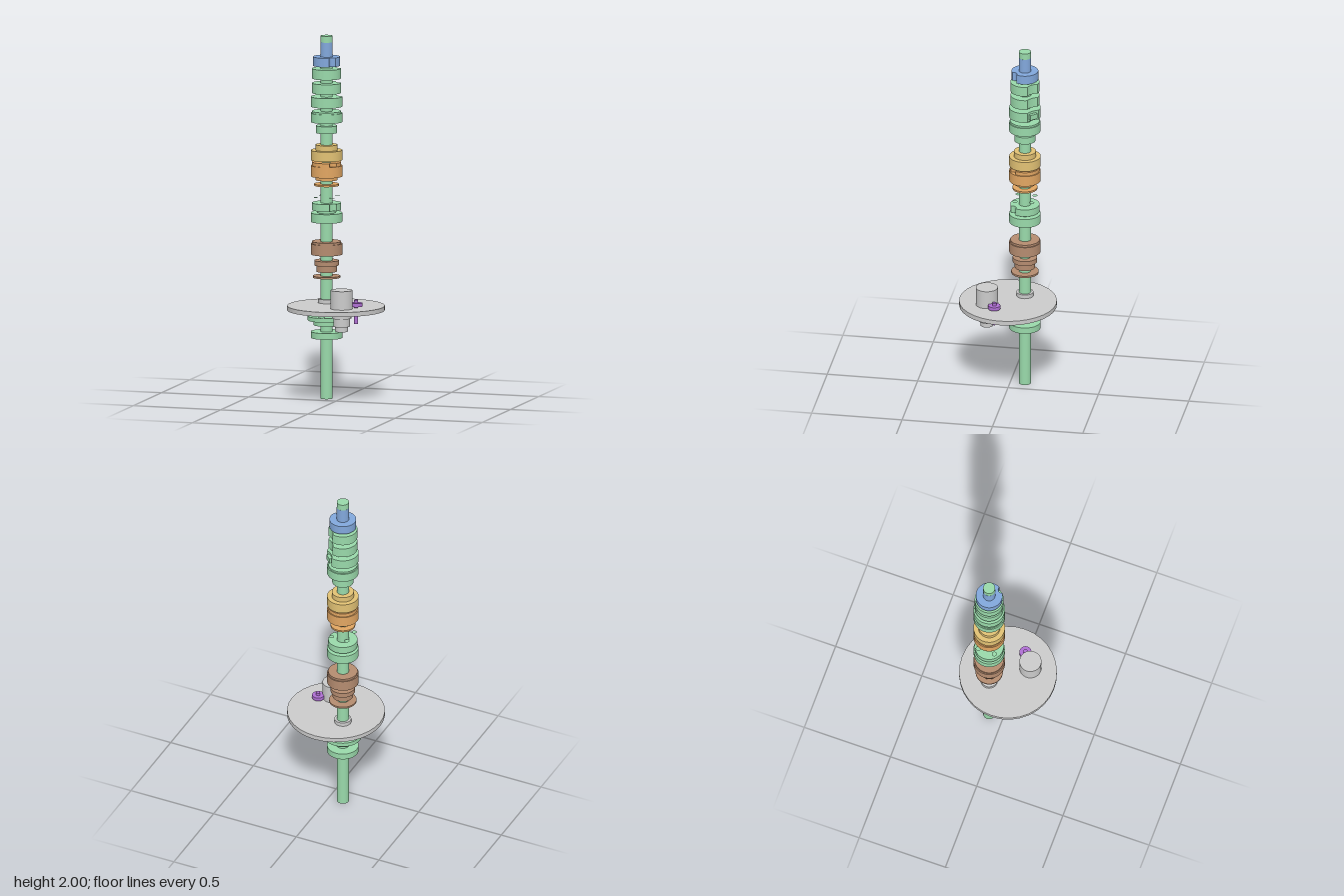
import * as THREE from 'three';
import { toCreasedNormals } from 'three/addons/utils/BufferGeometryUtils.js';

const material = (color, side = THREE.FrontSide) => new THREE.MeshStandardMaterial({ color, side });
const GREEN = material(0x99d9aa), BLUE = material(0x82a8dc), YELLOW = material(0xe2c274);
const ORANGE = material(0xe2a662), BROWN = material(0xb58c70), PURPLE = material(0xb070d4);
const GREY = material(0xcccccc), PORT = material(0x99d9aa, THREE.DoubleSide);

function add(parent, name, geometry, mat, x = 0, y = 0, z = 0) {
  const mesh = new THREE.Mesh(geometry, mat);
  mesh.name = name;
  mesh.position.set(x, y, z);
  parent.add(mesh);
  return mesh;
}

// Upright disc or rod spanning y0 to y1
function disc(parent, name, mat, r, y0, y1, x = 0, z = 0, sides = 40) {
  return add(parent, name, new THREE.CylinderGeometry(r, r, y1 - y0, sides), mat, x, (y0 + y1) / 2, z);
}

// Disc with a curved bite in its rim; angle is measured from +x towards -z
function notchedDisc(parent, name, mat, r, y0, y1, angle, half, depth) {
  const shape = new THREE.Shape();
  shape.absarc(0, 0, r, angle + half, angle - half + Math.PI * 2, false);
  const inner = r - depth;
  const point = (rad, a) => [rad * Math.cos(a), rad * Math.sin(a)];
  shape.bezierCurveTo(...point(inner, angle - half * 0.8), ...point(inner, angle + half * 0.8), ...point(r, angle + half));
  const geometry = new THREE.ExtrudeGeometry(shape, { depth: y1 - y0, bevelEnabled: false, curveSegments: 32 });
  geometry.rotateX(-Math.PI / 2);
  return add(parent, name, toCreasedNormals(geometry, 0.6), mat, 0, y0, 0);
}

export function createModel() {
  const model = new THREE.Group();
  const stack = new THREE.Group();
  stack.name = 'shaftStack';
  stack.position.set(-0.08, 0, -0.08);
  model.add(stack);

  // Central shaft and its blue upper sleeve
  disc(stack, 'shaft', GREEN, 0.033, 0, 2);
  disc(stack, 'upperSleeve', BLUE, 0.0335, 1.88, 1.965);
  notchedDisc(stack, 'topCam', BLUE, 0.073, 1.835, 1.885, -Math.PI / 4, 0.27, 0.02);

  // Upper cams with a shallow bite at the rear left
  for (const [r, y0, y1] of [[0.079, 1.765, 1.82], [0.079, 1.685, 1.74], [0.086, 1.61, 1.665]])
    notchedDisc(stack, 'upperCam', GREEN, r, y0, y1, Math.PI / 4, 0.45, 0.016);
  const pin = add(stack, 'camPin', new THREE.BoxGeometry(0.02, 0.03, 0.045), GREEN, 0.054, 1.637, -0.054);
  pin.rotation.y = Math.PI / 4;

  // Plain discs along the shaft: name, material, radius, bottom, top
  const discs = [
    ['camLip', GREEN, 0.08, 1.575, 1.585],
    ['lowerCam', GREEN, 0.086, 1.525, 1.575],
    ['camHub', GREEN, 0.058, 1.465, 1.505],
    ['yellowHub', YELLOW, 0.06, 1.37, 1.4],
    ['yellowDisc', YELLOW, 0.086, 1.315, 1.37],
    ['orangeDisc', ORANGE, 0.086, 1.225, 1.285],
    ['orangeHub', ORANGE, 0.06, 1.205, 1.225],
    ['thinWasher', ORANGE, 0.068, 1.174, 1.184],
    ['middleNeck', GREEN, 0.05, 1.025, 1.04],
    ['middleDisc', GREEN, 0.086, 0.975, 1.025],
    ['brownLip', BROWN, 0.08, 0.855, 0.867],
    ['brownDisc', BROWN, 0.086, 0.795, 0.855],
    ['brownCollar', BROWN, 0.067, 0.735, 0.762],
    ['brownHub', BROWN, 0.056, 0.7, 0.735],
    ['brownWasher', BROWN, 0.075, 0.667, 0.677],
    ['plateCollar', GREY, 0.046, 0.528, 0.55],
    ['lowerCollar', GREY, 0.046, 0.48, 0.503],
    ['cageCap', GREEN, 0.095, 0.476, 0.484],
    ['wideDisc', GREEN, 0.103, 0.432, 0.455],
    ['narrowDisc', GREEN, 0.07, 0.405, 0.432],
    ['bottomDisc', GREEN, 0.086, 0.335, 0.37],
  ];
  for (const d of discs) disc(stack, ...d);
  notchedDisc(stack, 'orangeLip', ORANGE, 0.08, 1.285, 1.305, -Math.PI / 4, 0.27, 0.02);
  notchedDisc(stack, 'middleCam', GREEN, 0.08, 1.04, 1.08, -Math.PI / 4, 0.27, 0.02);

  // Small flat ports around the shaft, and legs between cage cap and wide disc
  for (let i = 0; i < 4; i++) {
    const a = Math.PI / 4 + i * Math.PI / 2;
    const port = add(stack, 'port', new THREE.CircleGeometry(0.014, 20), PORT, 0.066 * Math.cos(a), 1.112, 0.066 * Math.sin(a));
    port.rotation.x = -Math.PI / 2;
    const b = i * Math.PI / 2;
    const leg = add(stack, 'cageLeg', new THREE.BoxGeometry(0.008, 0.026, 0.03), GREEN, 0.09 * Math.cos(b), 0.466, 0.09 * Math.sin(b));
    leg.rotation.y = b;
  }

  // Round base plate
  add(model, 'plate', new THREE.CylinderGeometry(0.267, 0.267, 0.025, 32), GREY, 0, 0.515, 0);

  // Motor through the plate
  const motor = new THREE.Group();
  motor.name = 'motor';
  motor.position.set(0.066, 0, 0.106);
  model.add(motor);
  disc(motor, 'motorBody', GREY, 0.06, 0.528, 0.63);
  disc(motor, 'motorFlange', GREY, 0.053, 0.475, 0.503);
  disc(motor, 'motorLower', GREY, 0.045, 0.43, 0.475);
  disc(motor, 'motorTip', GREY, 0.035, 0.402, 0.43);

  // Small purple gear on its pin
  const gear = new THREE.Group();
  gear.name = 'gear';
  gear.position.set(0.133, 0, 0.053);
  model.add(gear);
  disc(gear, 'gearWheel', PURPLE, 0.033, 0.536, 0.556);
  disc(gear, 'gearPin', PURPLE, 0.011, 0.44, 0.572, 0, 0, 20);

  return model;
}
